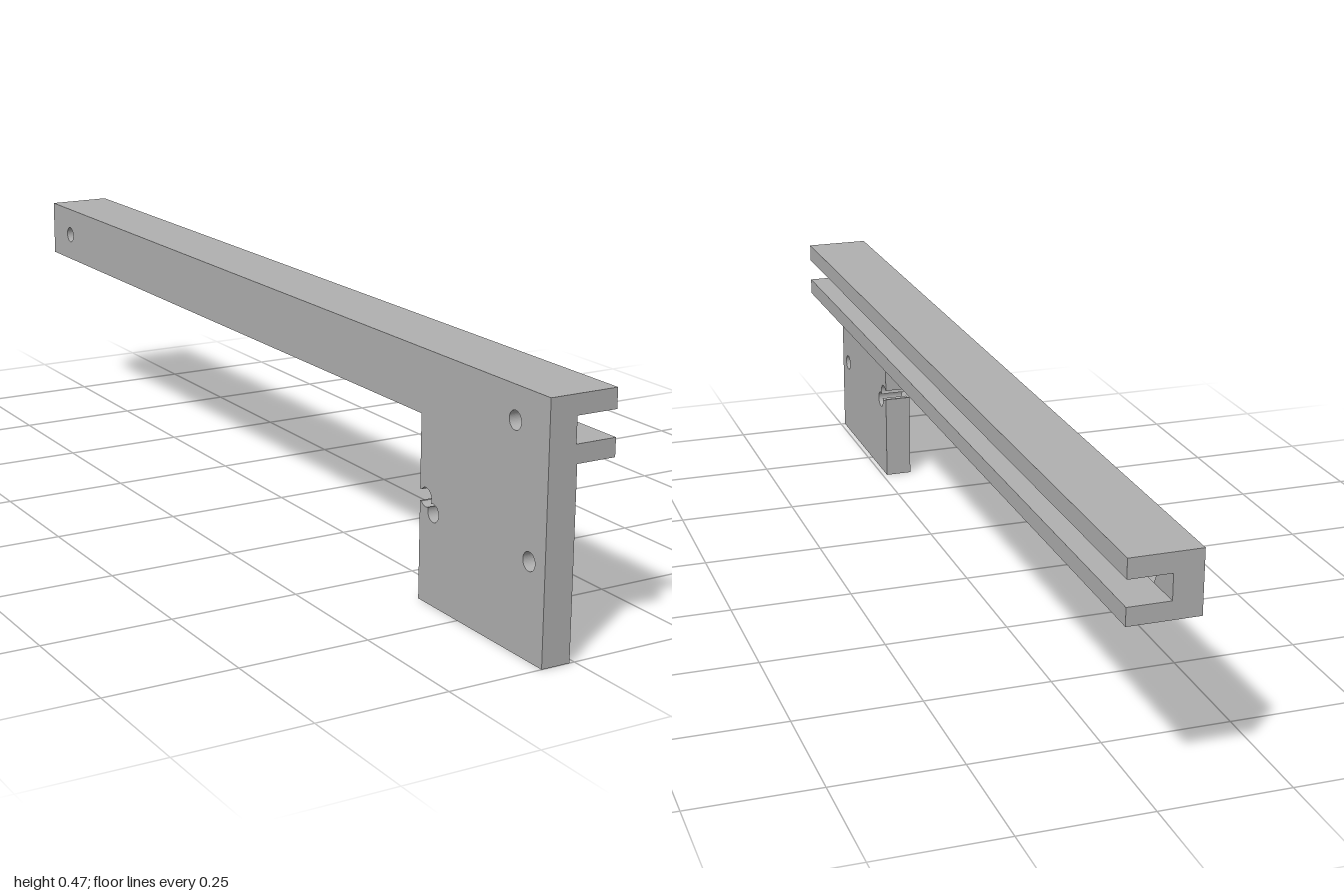
import * as THREE from 'three';

const LEFT = 0.067, SIDE = -0.067;   // outer faces in x
const RAIL_Y = 0.347, TOP = 0.466;   // rail bottom and top
const WEB_X = -0.013, PLATE_X = -0.01;
const rad = THREE.MathUtils.degToRad;

export function createModel() {
  const group = new THREE.Group();
  group.name = 'railBracket';
  const grey = new THREE.MeshStandardMaterial({ color: 0xb0b0b0 });
  grey.name = 'grey';

  const add = (name, geometry) => {
    const mesh = new THREE.Mesh(geometry, grey);
    mesh.name = name;
    group.add(mesh);
    return mesh;
  };

  // Extrude a side-on profile (u = -z, v = y) from x0 to x1
  const slab = (name, shape, x0, x1) => {
    const geometry = new THREE.ExtrudeGeometry(shape, { depth: x1 - x0, bevelEnabled: false, curveSegments: 24 });
    geometry.rotateY(Math.PI / 2).translate(x0, 0, 0);
    return add(name, geometry);
  };

  const rectangle = (u0, v0, u1, v1) => new THREE.Shape([
    new THREE.Vector2(u0, v0), new THREE.Vector2(u1, v0),
    new THREE.Vector2(u1, v1), new THREE.Vector2(u0, v1)]);

  const roundHole = (u, v, r) => new THREE.Path().absarc(u, v, r, 0, Math.PI * 2, true);

  const hexHole = (u, v, r) => new THREE.Path(Array.from({ length: 6 }, (_, i) =>
    new THREE.Vector2(u + r * Math.cos(-i * Math.PI / 3), v + r * Math.sin(-i * Math.PI / 3))));

  // Rail web: outer layer with bolt holes, inner layer with hexagonal nut pockets
  const outer = rectangle(-1, RAIL_Y, 1, TOP);
  const inner = rectangle(-1, RAIL_Y, 1, TOP);
  for (const u of [-0.905, 0.905]) {
    outer.holes.push(roundHole(u, 0.405, 0.017));
    inner.holes.push(hexHole(u, 0.405, 0.033));
  }
  slab('railWebOuter', outer, SIDE, -0.033);
  slab('railWebInner', inner, -0.033, WEB_X);

  // Two flanges forming the open channel
  for (const [name, y0, y1] of [['lowerFlange', RAIL_Y, 0.381], ['upperFlange', 0.429, TOP]]) {
    add(name, new THREE.BoxGeometry(LEFT - WEB_X, y1 - y0, 2))
      .position.set((LEFT + WEB_X) / 2, (y0 + y1) / 2, 0);
  }

  // Mounting plate: its rear edge has a slot leading into two overlapping holes
  const plate = new THREE.Shape();
  plate.moveTo(-1, 0);
  plate.lineTo(-0.625, 0);
  plate.lineTo(-0.625, 0.186);
  plate.absarc(-0.644, 0.197, 0.018, rad(-38), rad(-118), true);
  plate.absarc(-0.668, 0.174, 0.017, rad(25), rad(-297), true);
  plate.absarc(-0.644, 0.197, 0.018, rad(-154), rad(-322), true);
  plate.lineTo(-0.625, 0.208);
  plate.lineTo(-0.625, RAIL_Y);
  plate.lineTo(-1, RAIL_Y);
  plate.closePath();
  plate.holes.push(roundHole(-0.955, 0.175, 0.017));
  slab('mountingPlate', plate, SIDE, PLATE_X);

  return group;
}
